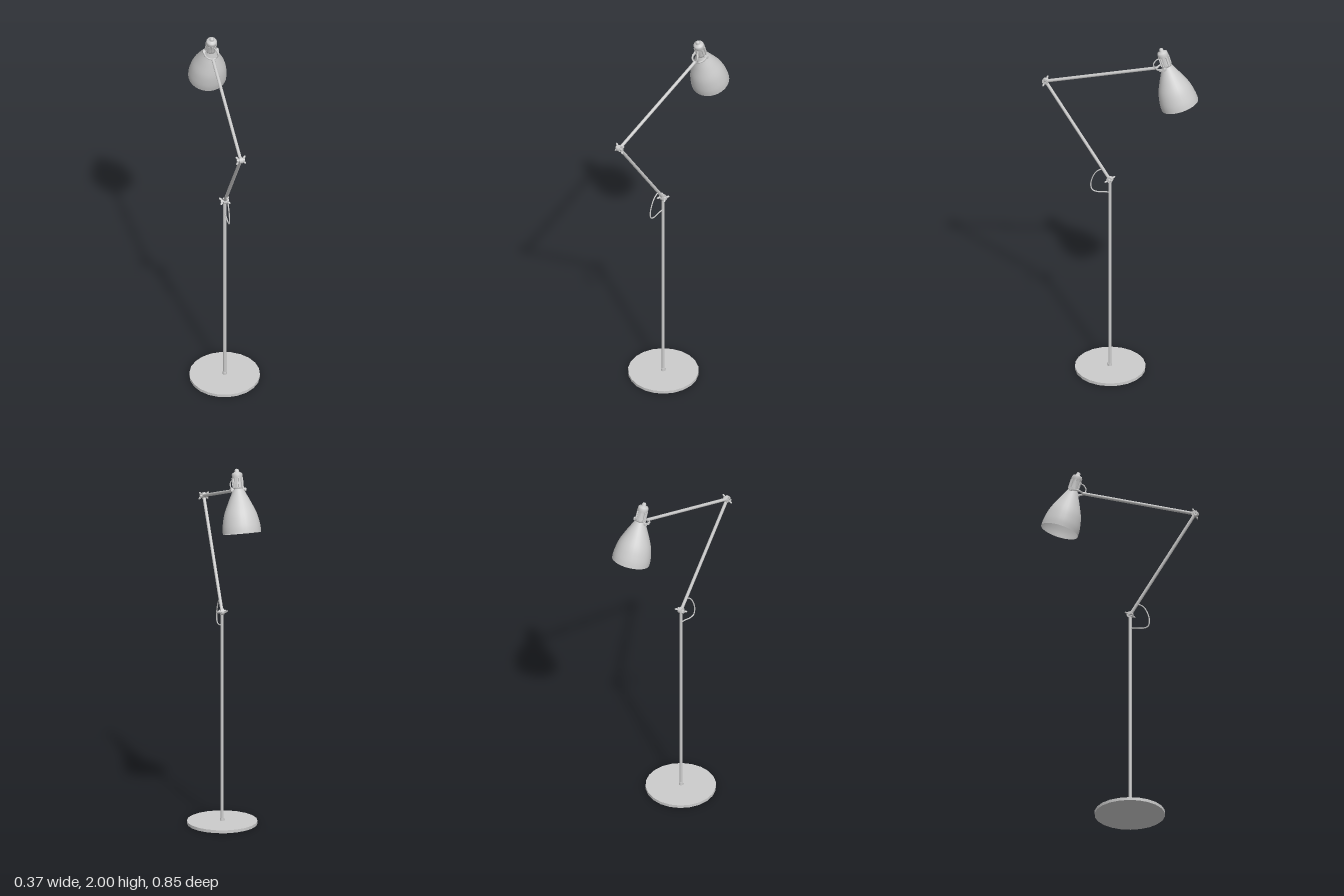
import * as THREE from 'three';

const material = new THREE.MeshStandardMaterial({ color: 0xcccccc });
const thin = new THREE.MeshStandardMaterial({ color: 0xcccccc, side: THREE.DoubleSide });
const v = (x, y, z) => new THREE.Vector3(x, y, z);

function add(parent, name, geometry, position = v(0, 0, 0), mat = material) {
  const mesh = new THREE.Mesh(geometry, mat);
  mesh.name = name;
  mesh.position.copy(position);
  parent.add(mesh);
  return mesh;
}

// Straight round rod between two points
function rod(parent, name, a, b, radius, sides = 12) {
  const dir = b.clone().sub(a);
  const mesh = add(parent, name, new THREE.CylinderGeometry(radius, radius, dir.length(), sides),
    a.clone().add(b).multiplyScalar(0.5));
  mesh.quaternion.setFromUnitVectors(v(0, 1, 0), dir.normalize());
  return mesh;
}

function tube(parent, name, points, radius) {
  return add(parent, name, new THREE.TubeGeometry(new THREE.CatmullRomCurve3(points), 28, radius, 6));
}

const lathe = (pairs, sides) =>
  new THREE.LatheGeometry(pairs.map(([r, y]) => new THREE.Vector2(r, y)), sides);

// Pivot with a round hub and a wing nut on each side
function createJoint(name, position, turn) {
  const joint = new THREE.Group();
  joint.name = name;
  joint.position.copy(position);
  joint.rotation.x = turn;
  rod(joint, 'hub', v(-0.009, 0, 0), v(0.009, 0, 0), 0.017, 18);
  for (const side of [-1, 1]) {
    rod(joint, 'nut', v(side * 0.008, 0, 0), v(side * 0.021, 0, 0), 0.009);
    for (const end of [-1, 1]) {
      const wing = add(joint, 'wing', new THREE.SphereGeometry(1, 10, 8), v(side * 0.019, 0, end * 0.014));
      wing.scale.set(0.006, 0.005, 0.011);
      wing.rotation.y = side * end * 0.65;
    }
  }
  return joint;
}

export function createModel() {
  const lamp = new THREE.Group();
  lamp.name = 'floorLamp';
  const knee = v(0, 1.147, 0.055);
  const elbow = v(0, 1.676, 0.41);
  const wrist = v(0, 1.88, -0.205);

  // Faceted disc base and post
  const base = add(lamp, 'base', new THREE.CylinderGeometry(0.184, 0.184, 0.016, 22), v(0, 0.008, 0.053));
  base.rotation.y = Math.PI / 2;
  add(lamp, 'postCollar', new THREE.CylinderGeometry(0.011, 0.012, 0.016, 16), v(0, 0.023, 0.055));
  rod(lamp, 'post', v(0, 0.015, 0.055), knee, 0.0085);

  // Two arms and their pivots
  rod(lamp, 'lowerArm', knee, elbow, 0.0085);
  rod(lamp, 'upperArm', elbow, wrist, 0.0085);
  lamp.add(createJoint('lowerJoint', knee, 0.35));
  lamp.add(createJoint('elbowJoint', elbow, Math.PI / 2 - 0.3));

  // Slack cable bridging the lower joint
  tube(lamp, 'jointCable', [v(0, 1.205, 0.094), v(0, 1.185, 0.125), v(0, 1.15, 0.147), v(0, 1.1, 0.16),
    v(0, 1.067, 0.152), v(0, 1.06, 0.125), v(0, 1.067, 0.085), v(0, 1.069, 0.055)], 0.0035);

  // Tilted head, built upright from the rim
  const head = new THREE.Group();
  head.name = 'head';
  head.position.set(0, 1.682, -0.331);
  head.rotation.x = 0.319;
  lamp.add(head);
  const outline = new THREE.SplineCurve([[0.1, 0], [0.0985, 0.04], [0.086, 0.1], [0.061, 0.16],
    [0.042, 0.2], [0.027, 0.232]].map(([r, y]) => new THREE.Vector2(r, y)));
  add(head, 'shade', new THREE.LatheGeometry(outline.getPoints(20), 28), undefined, thin);
  add(head, 'socket', lathe([[0, 0.222], [0.027, 0.224], [0.024, 0.245], [0.023, 0.285], [0.028, 0.29],
    [0.028, 0.308], [0.025, 0.315], [0.014, 0.321], [0.011, 0.323], [0.011, 0.331], [0.007, 0.337],
    [0, 0.338]], 24));

  // Cooling ribs around the socket
  for (let i = 0; i < 10; i++) {
    const angle = (i / 10) * Math.PI * 2;
    const rib = add(head, 'socketRib', new THREE.BoxGeometry(0.006, 0.055, 0.009),
      v(Math.sin(angle) * 0.025, 0.265, Math.cos(angle) * 0.025));
    rib.rotation.y = angle;
  }

  // Yoke holding the neck of the shade
  const yoke = new THREE.Group();
  yoke.name = 'yoke';
  lamp.add(yoke);
  tube(yoke, 'fork', [v(-0.036, 1.897, -0.258), v(-0.036, 1.892, -0.235), v(-0.025, 1.885, -0.214),
    v(0, 1.881, -0.204), v(0.025, 1.885, -0.214), v(0.036, 1.892, -0.235), v(0.036, 1.897, -0.258)], 0.005);
  for (const side of [-1, 1]) {
    const strap = add(yoke, 'forkEnd', new THREE.BoxGeometry(0.007, 0.012, 0.038), v(side * 0.036, 1.895, -0.248));
    strap.rotation.x = 0.32;
    rod(yoke, 'pivotScrew', v(side * 0.018, 1.898, -0.257), v(side * 0.042, 1.898, -0.257), 0.009);
  }

  // Short cable from the upper arm into the socket
  tube(lamp, 'headCable', [v(0.004, 1.885, -0.212), v(0.022, 1.893, -0.2), v(0.026, 1.915, -0.195),
    v(0.018, 1.935, -0.205), v(0.006, 1.945, -0.225)], 0.0035);
  return lamp;
}
